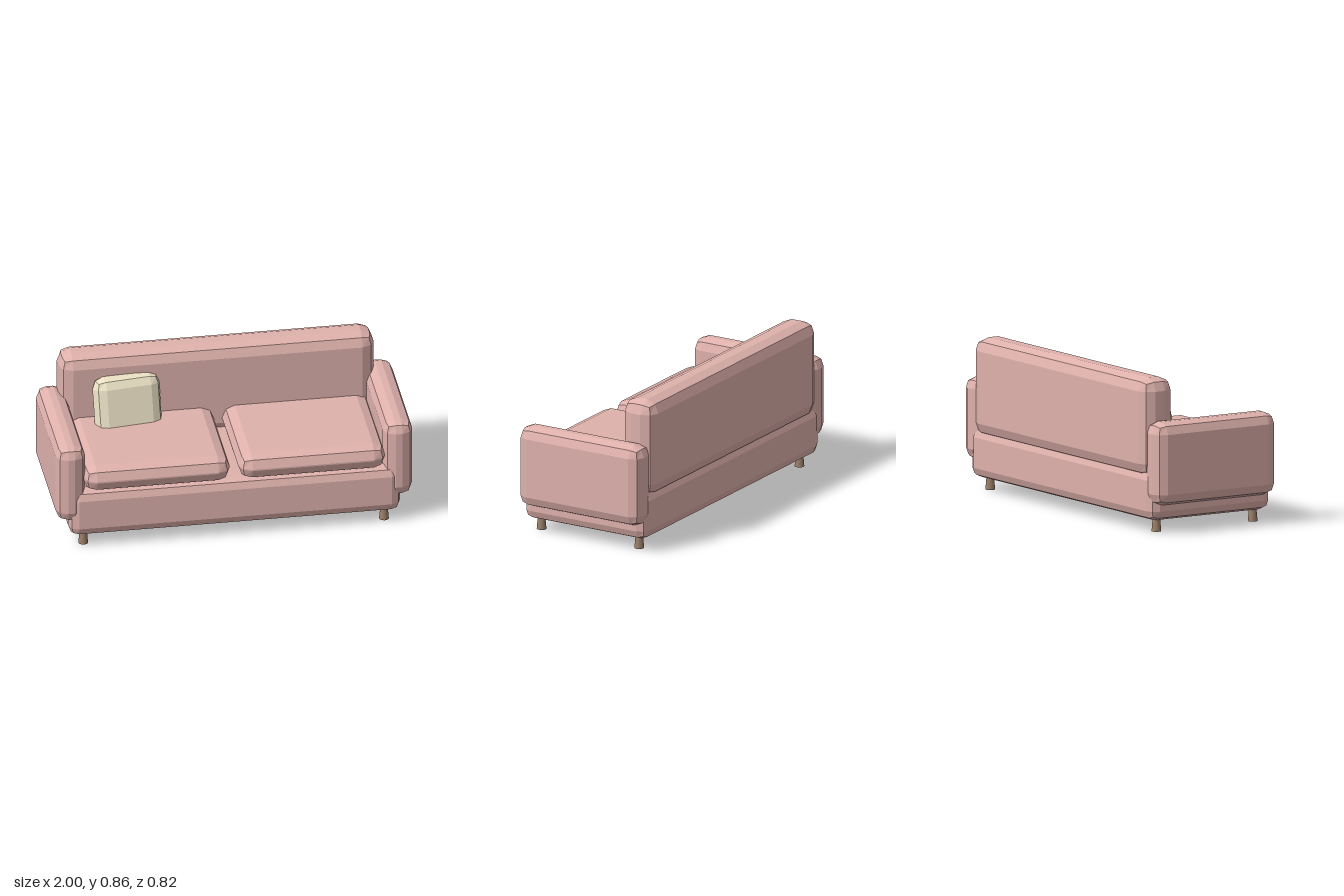
import * as THREE from 'three';
import { RoundedBoxGeometry } from 'three/addons/geometries/RoundedBoxGeometry.js';

const fabric = new THREE.MeshStandardMaterial({ color: 0xdfb1ac, flatShading: true });
const linen = new THREE.MeshStandardMaterial({ color: 0xebe1c4, flatShading: true });
const wood = new THREE.MeshStandardMaterial({ color: 0x9b7f68 });

// Box with two-facet bevels, given as [min, max] along each axis
function softBox(name, [x0, x1], [y0, y1], [z0, z1], radius, material = fabric) {
  const geometry = new RoundedBoxGeometry(x1 - x0, y1 - y0, z1 - z0, 1, radius);
  const mesh = new THREE.Mesh(geometry, material);
  mesh.name = name;
  mesh.position.set((x0 + x1) / 2, (y0 + y1) / 2, (z0 + z1) / 2);
  return mesh;
}

export function createModel() {
  const sofa = new THREE.Group();
  sofa.name = 'sofa';

  // Frame and backrest
  sofa.add(softBox('base', [-0.93, 0.93], [0.068, 0.35], [-0.395, 0.4], 0.055));
  sofa.add(softBox('backrest', [-0.883, 0.883], [0.31, 0.86], [-0.41, -0.205], 0.072));

  // Mirrored arms and seat cushions
  for (const [side, s] of [['left', 1], ['right', -1]]) {
    const arm = softBox(side + 'Arm', [0.835, 1], [0.16, 0.626], [-0.395, 0.397], 0.064);
    const cushion = softBox(side + 'SeatCushion', [0.024, 0.847], [0.34, 0.488], [-0.3, 0.41], 0.07);
    arm.position.x *= s;
    cushion.position.x *= s;
    sofa.add(arm, cushion);
  }

  // Throw pillow leaning against the backrest
  const pillow = softBox('throwPillow', [-0.19, 0.19], [-0.19, 0.19], [-0.07, 0.07], 0.062, linen);
  pillow.position.set(-0.515, 0.556, -0.163);
  pillow.rotation.set(-0.24, 0.12, 0, 'YXZ');
  sofa.add(pillow);

  // Legs, wider at the floor
  const legGeometry = new THREE.CylinderGeometry(0.02, 0.027, 0.08, 24);
  for (const x of [-0.843, 0.843]) {
    for (const z of [0.328, -0.307]) {
      const leg = new THREE.Mesh(legGeometry, wood);
      leg.name = (z > 0 ? 'front' : 'back') + (x > 0 ? 'Left' : 'Right') + 'Leg';
      leg.position.set(x, 0.04, z);
      sofa.add(leg);
    }
  }
  return sofa;
}
